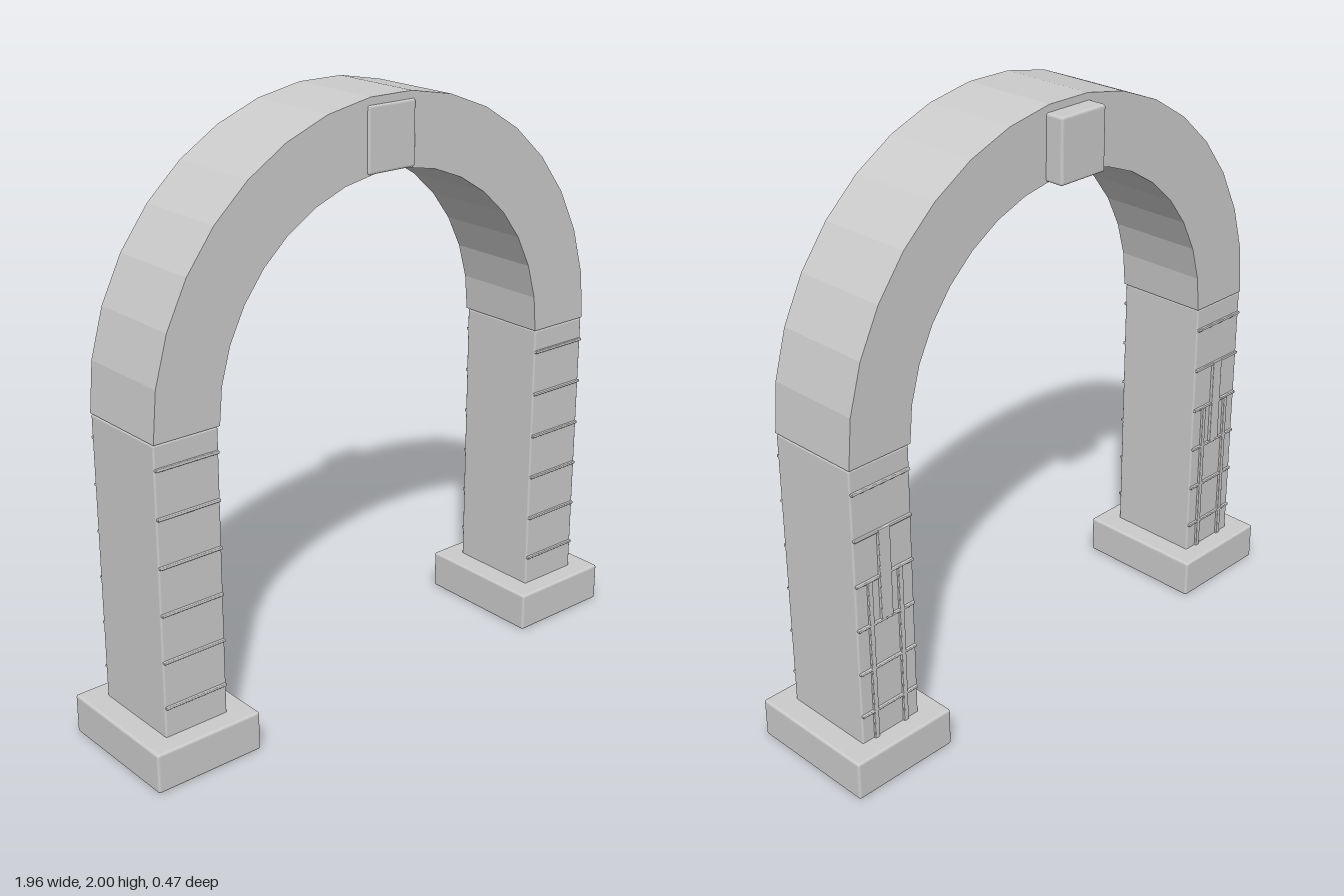
import * as THREE from 'three';
import { RoundedBoxGeometry } from 'three/addons/geometries/RoundedBoxGeometry.js';

const stone = new THREE.MeshStandardMaterial({ color: 0xcccccc, flatShading: true });

// Box with softened edges, given by its minimum and maximum corners
function block(name, [x0, y0, z0], [x1, y1, z1], bevel) {
  const geometry = new RoundedBoxGeometry(x1 - x0, y1 - y0, z1 - z0, 2, bevel);
  const mesh = new THREE.Mesh(geometry, stone);
  mesh.position.set((x0 + x1) / 2, (y0 + y1) / 2, (z0 + z1) / 2);
  mesh.name = name;
  return mesh;
}

// Half ring with 17 straight facets, extruded through the depth
function createArch() {
  const segments = 17, outer = 0.9, inner = 0.665, depth = 0.336;
  const ring = (radius) => Array.from({ length: segments + 1 }, (_, i) => {
    const a = (i / segments) * Math.PI;
    return new THREE.Vector2(radius * Math.cos(a), radius * Math.sin(a));
  });
  const shape = new THREE.Shape([...ring(outer), ...ring(inner).reverse()]);
  const geometry = new THREE.ExtrudeGeometry(shape, { depth, bevelEnabled: false });
  const arch = new THREE.Mesh(geometry, stone);
  arch.position.set(0, 1.104, -depth / 2);
  arch.name = 'arch';
  return arch;
}

// Foot, shaft, thin courses on both faces and upright strips on the back
function createPillar(name, centre) {
  const pillar = new THREE.Group();
  pillar.name = name;
  pillar.position.x = centre;
  pillar.add(block('foot', [-0.193, 0, -0.233], [0.193, 0.135, 0.233], 0.008));
  pillar.add(block('shaft', [-0.115, 0.125, -0.165], [0.115, 1.102, 0.165], 0.006));

  for (const y of [0.237, 0.394, 0.553, 0.71, 0.868, 1.024]) {
    for (const z of [-0.165, 0.165]) {
      pillar.add(block('course', [-0.113, y - 0.005, z - 0.008], [0.113, y + 0.005, z + 0.008], 0.003));
    }
  }
  for (const x of [-0.06, 0.06]) {
    pillar.add(block('sideStrip', [x - 0.009, 0.13, -0.173], [x + 0.009, 0.705, -0.155], 0.003));
  }
  pillar.add(block('middleStrip', [-0.023, 0.557, -0.175], [0.023, 0.872, -0.155], 0.003));
  return pillar;
}

export function createModel() {
  const model = new THREE.Group();
  model.name = 'archway';
  model.add(createArch());
  model.add(createPillar('leftPillar', 0.785));
  model.add(createPillar('rightPillar', -0.785));
  model.add(block('keystone', [-0.095, 1.765, -0.232], [0.095, 1.976, 0.174], 0.008));
  return model;
}
